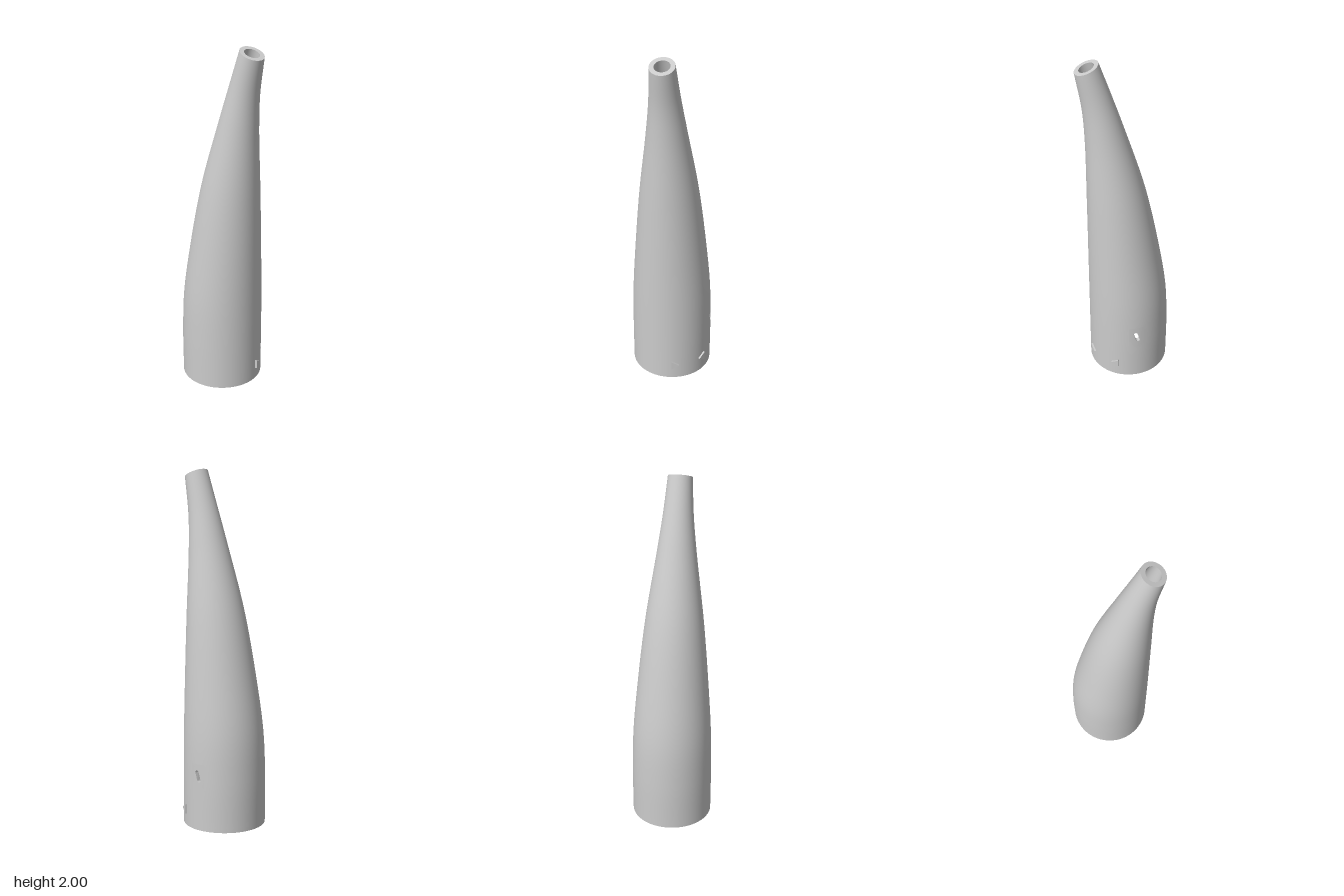
import * as THREE from 'three';

const COLS = 96, ROWS = 70, WALL = 0.025;
const BASE_X = -0.025, BASE_R = 0.233;
// Block of wall cells replaced by the panel with the slot
const PATCH = { c0: 22, c1: 28, r0: 8, r1: 14 };

// Matching edge profiles: each pair of points spans one tilted ring
const curve = pts => new THREE.CatmullRomCurve3(pts.map(([x, y]) => new THREE.Vector3(x, y, 0)));
const rightEdge = curve([[-0.258, 0], [-0.258, 0.28], [-0.245, 0.53], [-0.2, 0.82],
  [-0.117, 1.22], [0, 1.61], [0.062, 1.8], [0.13, 2]]);
const leftEdge = curve([[0.208, 0], [0.208, 0.28], [0.208, 0.515], [0.208, 0.775],
  [0.208, 1.165], [0.21, 1.55], [0.222, 1.745], [0.255, 1.95]]);

// Point on the wall: col goes round, row goes up, inset goes inward
function wallPoint(col, row, inset) {
  const a = col / COLS * Math.PI * 2;
  const R = leftEdge.getPoint(row / ROWS), L = rightEdge.getPoint(row / ROWS);
  const centre = R.clone().add(L).multiplyScalar(0.5);
  const r = R.distanceTo(L) / 2 - inset;
  return centre.addScaledVector(R.sub(L).normalize(), r * Math.cos(a))
    .add(new THREE.Vector3(0, 0, -r * Math.sin(a)));
}

// Closed band of quads from point(col, row)
function band(point, rows, skip = () => false) {
  const pos = [], index = [];
  for (let j = 0; j <= rows; j++)
    for (let i = 0; i < COLS; i++) pos.push(...point(i, j).toArray());
  for (let j = 0; j < rows; j++)
    for (let i = 0; i < COLS; i++) {
      if (skip(i, j)) continue;
      const n = (i + 1) % COLS;
      const a = j * COLS + i, b = j * COLS + n, c = b + COLS, d = a + COLS;
      index.push(a, b, c, a, c, d);
    }
  const g = new THREE.BufferGeometry();
  g.setAttribute('position', new THREE.Float32BufferAttribute(pos, 3));
  g.setIndex(index);
  g.computeVertexNormals();
  return g;
}

// Wall panel with a leaning slot, bent onto the wall
function slotPanel() {
  const { c0, c1, r0, r1 } = PATCH, outline = [];
  for (let c = c0; c < c1; c++) outline.push(new THREE.Vector2(c, r0));
  for (let r = r0; r < r1; r++) outline.push(new THREE.Vector2(c1, r));
  for (let c = c1; c > c0; c--) outline.push(new THREE.Vector2(c, r1));
  for (let r = r1; r > r0; r--) outline.push(new THREE.Vector2(c0, r));
  const shape = new THREE.Shape(outline);

  const slot = [], lean = 0.3, radius = 0.012, half = 0.022;
  for (let k = 0; k < 18; k++) {
    const a = (k % 9) / 8 * Math.PI + (k < 9 ? 0 : Math.PI);
    const p = new THREE.Vector2(radius * Math.cos(a), radius * Math.sin(a) + (k < 9 ? half : -half));
    p.rotateAround(new THREE.Vector2(), lean);
    slot.push(new THREE.Vector2(25 + p.x / 0.0152, 11.2 + p.y / 0.025));
  }
  shape.holes.push(new THREE.Path(slot));

  const g = new THREE.ExtrudeGeometry(shape, { depth: WALL, bevelEnabled: false, steps: 1 });
  const pos = g.attributes.position, nor = g.attributes.normal;
  const capNormals = [];
  for (let i = 0; i < pos.count; i++) {
    const c = pos.getX(i), r = pos.getY(i), z = pos.getZ(i);
    const out = wallPoint(c, r, 0).sub(wallPoint(c, r, WALL)).normalize();
    if (Math.abs(nor.getZ(i)) > 0.5) capNormals.push([i, out.multiplyScalar(Math.sign(nor.getZ(i)))]);
    const p = wallPoint(c, r, WALL - z);
    pos.setXYZ(i, p.x, p.y, p.z);
  }
  g.computeVertexNormals();
  // Smooth the two faces so they blend with the wall
  for (const [i, n] of capNormals) nor.setXYZ(i, n.x, n.y, n.z);
  return g;
}

// Raised triangular marker pointing round the base
function marker(direction) {
  const w = 0.023 * direction, h = 0.027;
  const pts = [[-w, -h], [w, 0], [-w, h]].map(([x, y]) => new THREE.Vector2(x, y));
  const g = new THREE.ExtrudeGeometry(new THREE.Shape(pts), { depth: 0.02, bevelEnabled: false });
  return g.rotateY(Math.PI / 2).translate(BASE_R - 0.01, 0, 0);
}

export function createModel() {
  const model = new THREE.Group();
  model.name = 'curvedTaperedTube';
  const material = new THREE.MeshStandardMaterial({ color: 0xcccccc });
  const add = (name, geometry) => {
    const mesh = new THREE.Mesh(geometry, material);
    mesh.name = name;
    model.add(mesh);
    return mesh;
  };

  const inPatch = (c, r) => c >= PATCH.c0 && c < PATCH.c1 && r >= PATCH.r0 && r < PATCH.r1;

  // Hollow body
  add('outerWall', band((c, r) => wallPoint(c, r, 0), ROWS, inPatch));
  add('innerWall', band((c, r) => wallPoint(c, ROWS - r, WALL), ROWS,
    (c, r) => inPatch(c, ROWS - 1 - r)));
  add('bottomRim', band((c, k) => wallPoint(c, 0, WALL * (1 - k)), 1));
  add('topRim', band((c, k) => wallPoint(c, ROWS, WALL * k), 1));
  add('slotPanel', slotPanel());

  // Two markers facing each other near the base
  for (const [name, degrees, direction] of [['leftMarker', 18, 1], ['backMarker', 61.5, -1]]) {
    const mesh = add(name, marker(direction));
    mesh.position.set(BASE_X, 0.095, 0);
    mesh.rotation.y = THREE.MathUtils.degToRad(degrees);
  }
  return model;
}
